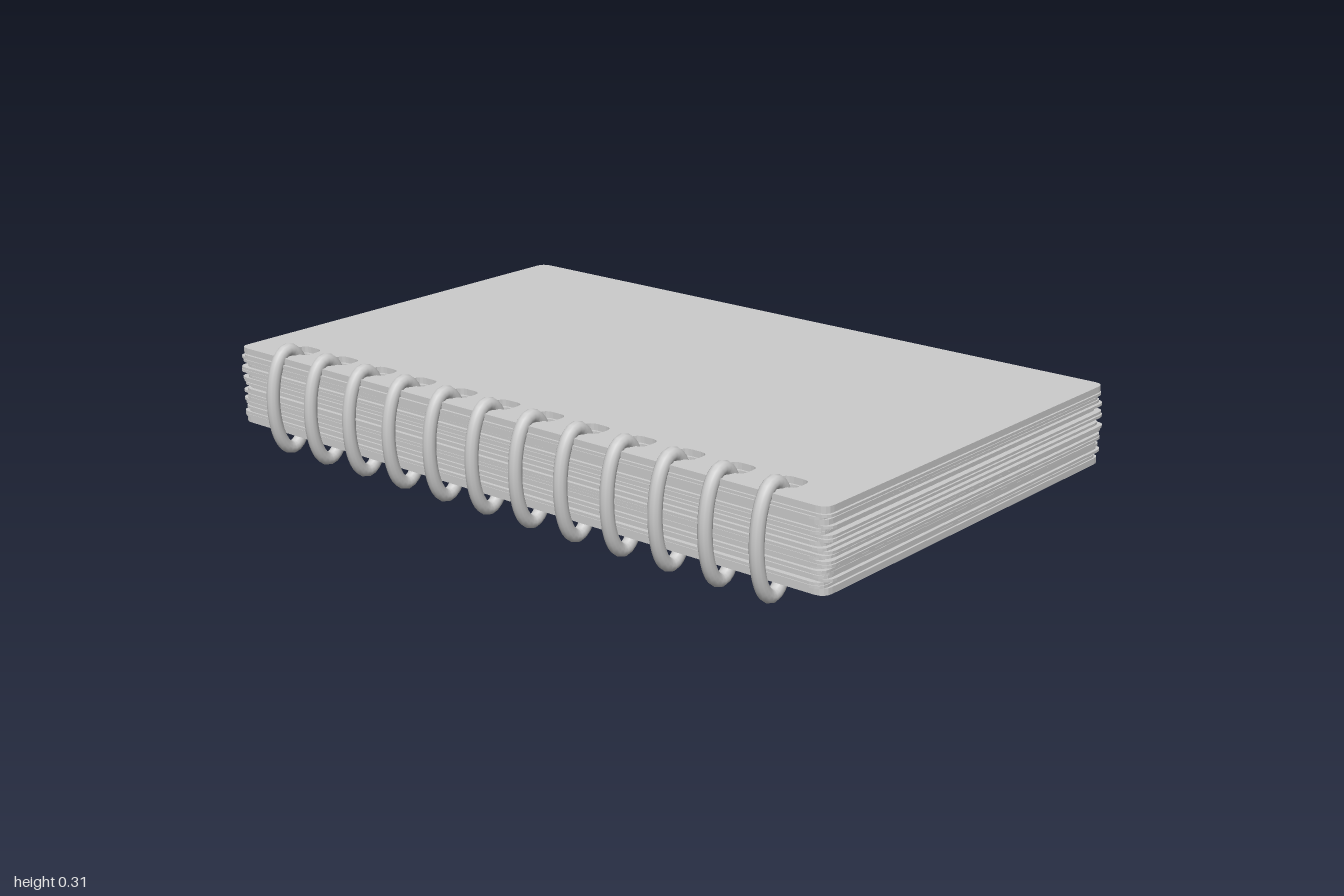
import * as THREE from 'three';

const material = new THREE.MeshStandardMaterial({ color: 0xcccccc, side: THREE.DoubleSide });
const RINGS = 12, PITCH = 0.149, SHEETS = 24;
const ringZ = (i) => (i - (RINGS - 1) / 2) * PITCH;

// Rounded rectangle outline, used for sheets and punched holes
function roundRect(path, x0, x1, y0, y1, r) {
  path.moveTo(x0 + r, y0);
  path.lineTo(x1 - r, y0);
  path.quadraticCurveTo(x1, y0, x1, y0 + r);
  path.lineTo(x1, y1 - r);
  path.quadraticCurveTo(x1, y1, x1 - r, y1);
  path.lineTo(x0 + r, y1);
  path.quadraticCurveTo(x0, y1, x0, y1 - r);
  path.lineTo(x0, y0 + r);
  path.quadraticCurveTo(x0, y0, x0 + r, y0);
  return path;
}

// Flat punched sheet lying in XZ, its underside at y = 0
function sheetGeometry(halfLength, thickness) {
  const shape = roundRect(new THREE.Shape(), -0.585, 0.627, -halfLength, halfLength, 0.03);
  for (let i = 0; i < RINGS; i++) {
    const z = ringZ(i);
    shape.holes.push(roundRect(new THREE.Path(), -0.532, -0.465, z - 0.037, z + 0.037, 0.024));
  }
  const geo = new THREE.ExtrudeGeometry(shape, { depth: thickness, bevelEnabled: false, curveSegments: 4 });
  return geo.rotateX(-Math.PI / 2);
}

// Oval binding ring
class RingCurve extends THREE.Curve {
  getPoint(t, target = new THREE.Vector3()) {
    const a = t * Math.PI * 2;
    return target.set(0.059 * Math.cos(a), 0.137 * Math.sin(a), 0);
  }
}

function seeded(seed) {
  return () => {
    seed = (seed * 16807) % 2147483647;
    return (seed / 2147483647) * 2 - 1;
  };
}

export function createModel() {
  const notebook = new THREE.Group();
  notebook.name = 'notebook';
  const add = (parent, geo, name, x, y, z) => {
    const mesh = new THREE.Mesh(geo, material);
    mesh.name = name;
    mesh.position.set(x, y, z);
    parent.add(mesh);
    return mesh;
  };

  // Covers
  const cover = sheetGeometry(0.986, 0.017);
  add(notebook, cover, 'backCover', 0, 0.065, 0);
  add(notebook, cover, 'frontCover', 0, 0.259, 0);

  // Slightly shuffled page stack
  const pages = new THREE.Group();
  pages.name = 'pages';
  notebook.add(pages);
  const step = 0.177 / SHEETS;
  const page = sheetGeometry(0.984, step * 0.94);
  const rand = seeded(421);
  for (let i = 0; i < SHEETS; i++) {
    const sheet = add(pages, page, 'page', rand() * 0.006, 0.082 + i * step, rand() * 0.012);
    sheet.rotation.y = rand() * 0.003;
  }

  // Binding rings
  const rings = new THREE.Group();
  rings.name = 'bindingRings';
  notebook.add(rings);
  const ring = new THREE.TubeGeometry(new RingCurve(), 48, 0.018, 12, true);
  for (let i = 0; i < RINGS; i++) add(rings, ring, 'bindingRing', -0.558, 0.155, ringZ(i));

  return notebook;
}
